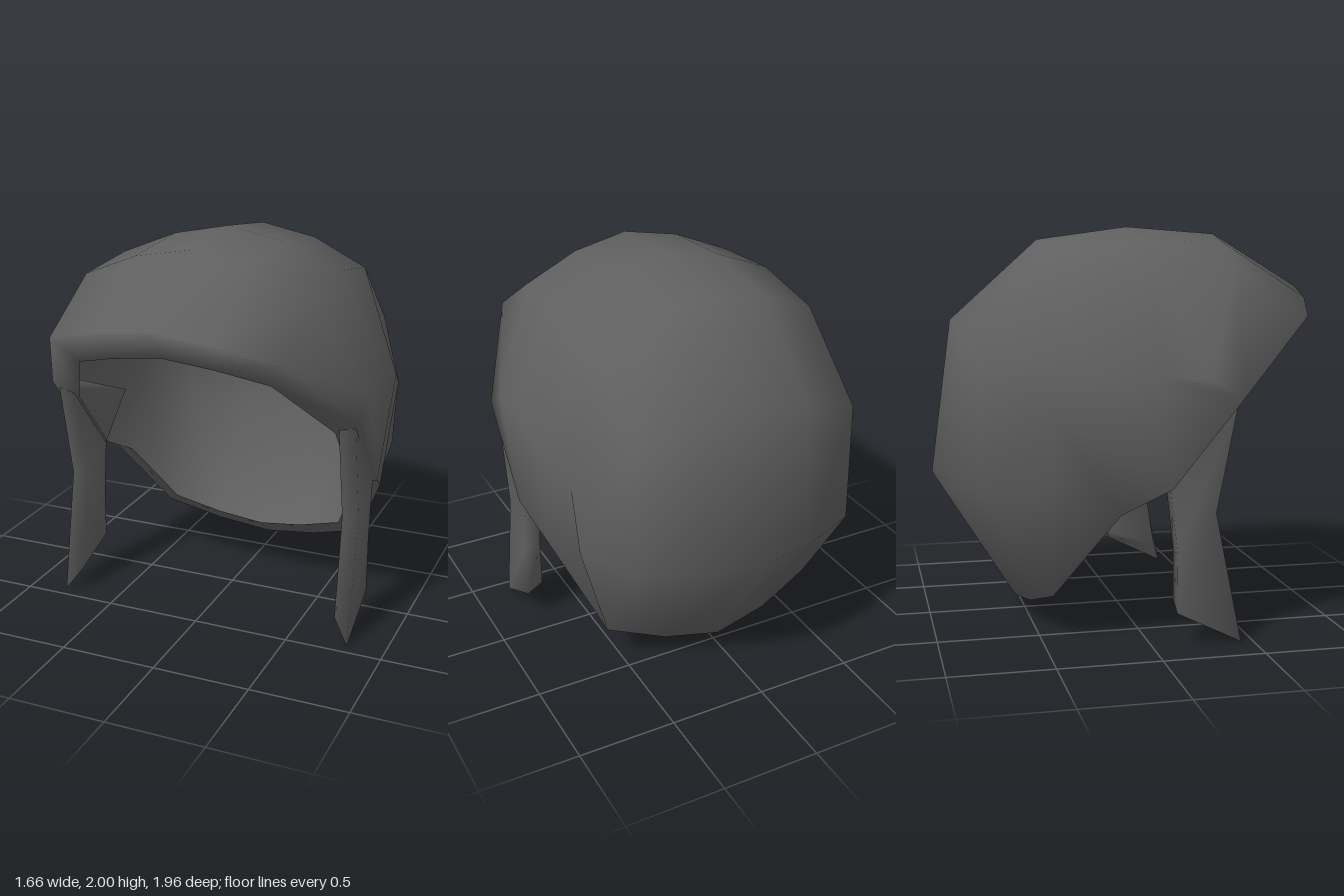
import * as THREE from 'three';
import { mergeVertices } from 'three/addons/utils/BufferGeometryUtils.js';

const material = new THREE.MeshStandardMaterial({ color: 0x606060, side: THREE.DoubleSide });

// Collects quads of [x, y, z] corners, skipping collapsed triangles; the mesh is smooth
function quadBuilder() {
  const positions = [];
  const same = (p, q) => p.every((v, i) => Math.abs(v - q[i]) < 1e-6);
  const tri = (a, b, c) => {
    if (!same(a, b) && !same(b, c) && !same(c, a)) positions.push(...a, ...b, ...c);
  };
  return {
    quad(a, b, c, d) { tri(a, b, c); tri(a, c, d); },
    mesh(name) {
      const geometry = new THREE.BufferGeometry();
      geometry.setAttribute('position', new THREE.Float32BufferAttribute(positions, 3));
      const welded = mergeVertices(geometry);
      welded.computeVertexNormals();
      const mesh = new THREE.Mesh(welded, material);
      mesh.name = name;
      return mesh;
    },
  };
}

// Corners of the opening on the left side, from the temple back to the nape
const temple = [0.83, 1.19, 0.435];
const earFront = [0.83, 0.77, 0.09];
const earRear = [0.78, 0.645, -0.15];
const nape = [0.59, 0.22, -0.445];

// Columns from the middle to the left side; each runs from the brim over the top to the nape
const halfColumns = [
  [[0, 1.69, 0.98], [0, 1.965, 0.52], [0, 2, 0.05], [0, 1.935, -0.42], [0, 1.53, -0.87], [0, 0.75, -0.975], [0, 0.07, -0.55]],
  [[0.295, 1.64, 0.925], [0.295, 1.91, 0.5], [0.295, 1.94, 0.05], [0.295, 1.88, -0.41], [0.295, 1.48, -0.845], [0.295, 0.75, -0.92], [0.295, 0.12, -0.515]],
  [[0.59, 1.56, 0.835], [0.59, 1.79, 0.46], [0.59, 1.82, 0.05], [0.59, 1.75, -0.37], [0.59, 1.38, -0.79], [0.59, 0.76, -0.8], nape],
  [temple, [0.83, 1.28, 0.28], [0.83, 1.3, 0.04], [0.83, 1.25, -0.19], [0.77, 1.12, -0.47], [0.745, 0.76, -0.49], nape],
  [temple, temple, earFront, earFront, earRear, nape, nape],
];

// Thin shell, open underneath, with a wide lip turned inwards around the opening
function createShell() {
  const builder = quadBuilder();
  const mirrored = halfColumns.slice(1).reverse().map((col) => col.map(([x, y, z]) => [-x, y, z]));
  const columns = [...mirrored, ...halfColumns];
  const lastCol = columns.length - 1;
  const lastRow = columns[0].length - 1;

  for (let i = 0; i < lastCol; i++) {
    for (let j = 0; j < lastRow; j++) {
      builder.quad(columns[i][j], columns[i + 1][j], columns[i + 1][j + 1], columns[i][j + 1]);
    }
  }

  // The lip runs from the edge to the same edge shrunk about a point inside
  const k = 0.84;
  const inset = ([x, y, z]) => [x * k, 0.69 + (y - 0.69) * k, 0.17 + (z - 0.17) * k];
  const edge = [
    ...columns.map((col) => col[0]),
    ...columns[lastCol].slice(1),
    ...columns.slice(0, -1).reverse().map((col) => col[lastRow]),
    ...columns[0].slice(1, -1).reverse(),
  ];
  edge.forEach((a, i) => {
    const b = edge[(i + 1) % edge.length];
    builder.quad(b, a, inset(a), inset(b));
  });
  return builder.mesh('helmetShell');
}

// Four-sided cheek strap widening inside the shell; side is +1 for left, -1 for right
function createStrap(side) {
  const builder = quadBuilder();
  const quad = (a, b, c, d) => (side > 0 ? builder.quad(a, b, c, d) : builder.quad(d, c, b, a));
  // Sections from the tip up: outer front, outer rear, inner rear, inner front
  const sections = [
    [[0.805, 0, 0.44], [0.805, 0.16, 0.12], [0.72, 0.21, 0.12], [0.72, 0.12, 0.39]],
    [[0.805, 0.64, 0.31], [0.805, 0.45, 0.12], [0.72, 0.45, 0.12], [0.72, 0.64, 0.31]],
    [[0.805, 1.15, 0.41], [0.805, 0.75, 0.085], [0.72, 0.75, 0.085], [0.72, 1.15, 0.41]],
    [[0.805, 1.2, 0.38], [0.805, 0.98, -0.16], [0.72, 0.98, -0.16], [0.72, 1.2, 0.38]],
  ].map((section) => section.map(([x, y, z]) => [x * side, y, z]));

  for (let i = 0; i < sections.length - 1; i++) {
    for (let k = 0; k < 4; k++) {
      const n = (k + 1) % 4;
      quad(sections[i][k], sections[i][n], sections[i + 1][n], sections[i + 1][k]);
    }
  }
  quad(...[...sections[0]].reverse());
  quad(...sections[sections.length - 1]);
  return builder.mesh(side > 0 ? 'leftCheekStrap' : 'rightCheekStrap');
}

export function createModel() {
  const group = new THREE.Group();
  group.name = 'helmet';
  group.add(createShell(), createStrap(1), createStrap(-1));
  return group;
}
